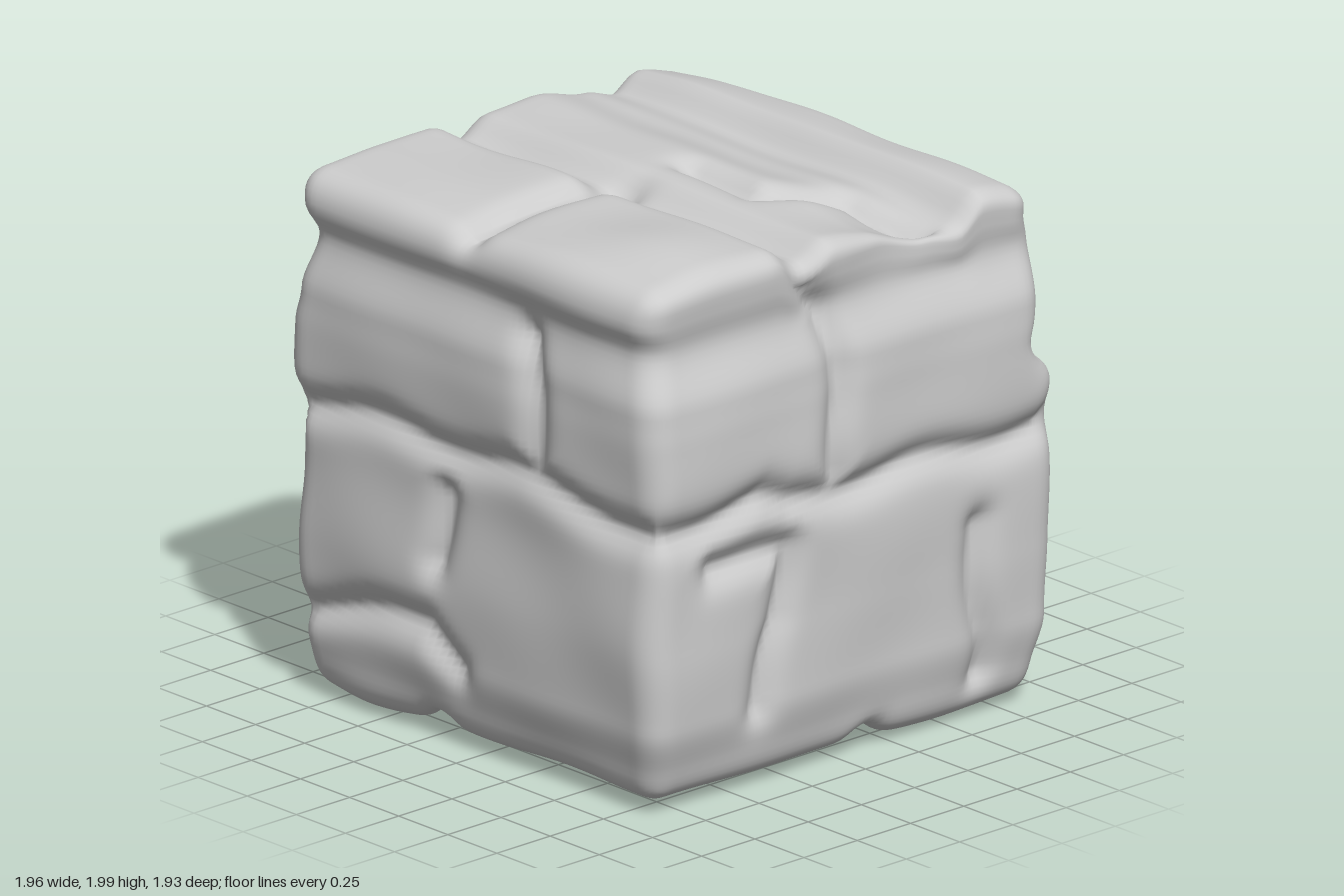
import * as THREE from 'three';
import { mergeVertices } from 'three/addons/utils/BufferGeometryUtils.js';

const HALF = new THREE.Vector3(0.96, 0.955, 0.96);
const MID_Y = 0.99;
const RADIUS = 0.11;

// Places a 2D point on one of the six faces
const onFace = {
  front: (x, y) => [x, y, HALF.z],
  back: (x, y) => [x, y, -HALF.z],
  right: (z, y) => [HALF.x, y, z],
  left: (z, y) => [-HALF.x, y, z],
  top: (x, z) => [x, MID_Y + HALF.y, z],
  bottom: (x, z) => [x, MID_Y - HALF.y, z],
};

// Reach of the sides at each height: y, right, left, front, back
const girth = [
  [1.92, 0.94, 0.92, 0.95, 0.885],
  [1.82, 0.92, 0.91, 0.95, 0.88],
  [1.71, 0.9, 0.885, 0.91, 0.905],
  [1.5, 0.96, 0.93, 0.96, 0.885],
  [1.38, 0.965, 0.95, 0.965, 0.88],
  [1.2, 0.97, 0.955, 0.96, 0.96],
  [0.9, 0.96, 0.925, 0.945, 0.965],
  [0.6, 0.95, 0.945, 0.96, 0.96],
  [0.33, 0.945, 0.935, 0.95, 0.95],
  [0.1, 0.9, 0.91, 0.905, 0.91],
];

// Height of the top from front to back: z, y
const crown = [
  [0.95, 1.94], [0.6, 1.955], [0.35, 1.955], [0.2, 1.88], [0.06, 1.945],
  [-0.15, 1.945], [-0.42, 1.89], [-0.57, 1.865], [-0.7, 1.945], [-0.95, 1.91],
];

// Joints between stones: face, then the path as pairs
const joints = [
  ['front', -0.96, 1.1, -0.4, 1.12, 0.3, 1.12, 0.96, 1.05],
  ['front', 0.3, 1.6, 0.34, 1.15],
  ['front', -0.13, 0.95, -0.2, 0.7],
  ['front', -0.96, 0.33, -0.22, 0.45, -0.06, 0.33],
  ['right', 0.96, 1.05, 0.42, 1.09, 0.3, 1.04, -0.96, 1.03],
  ['right', 0.22, 1.9, 0.1, 1.7, 0.07, 1.1],
  ['right', 0.68, 0.9, 0.33, 0.86, 0.34, 0.6, 0.45, 0.3],
  ['right', -0.57, 0.75, -0.63, 0.2],
  ['back', 0.96, 1.3, 0.55, 1.28, 0.1, 1.18, 0.08, 0.5, -0.15, 0.25],
  ['left', -0.22, 1.8, -0.3, 1.2, -0.25, 0.7, -0.35, 0.2],
  ['left', -0.27, 1.14, 0.96, 1.05],
  ['left', -0.3, 0.4, 0.96, 0.33],
  ['top', -0.04, 0.2, -0.04, 0.95],
  ['top', 0, -0.08, 0.33, -0.08, 0.53, -0.4, 0.85, -0.46],
  ['bottom', 0.96, -0.12, 0.35, -0.35, -0.15, -0.55, -0.4, -0.96],
  ['bottom', -0.25, 0.96, -0.3, 0.8, -0.85, 0.15],
  ['bottom', 0, -0.4, -0.8, -0.2],
];

// Broad swellings and hollows: x, y, z, radius, amount
const swellings = [
  [0.64, 1.94, 0.6, 0.3, 0.04],
  [0.78, 1.94, -0.3, 0.25, -0.06],
  [-0.92, 1.85, -0.9, 0.3, -0.06],
  [-0.96, 1.3, -0.7, 0.3, 0.02],
  [-0.96, 0.45, 0.4, 0.25, 0.02],
  [-0.6, 0.04, 0.7, 0.25, 0.035],
  [0.68, 0.04, -0.6, 0.3, 0.03],
  [0.6, 0.05, 0.96, 0.3, -0.02],
];

// Joint paths as line segments in space
const segments = joints.flatMap(([face, ...path]) => {
  const lines = [];
  for (let i = 0; i + 3 < path.length; i += 2) {
    const a = new THREE.Vector3(...onFace[face](path[i], path[i + 1]));
    const b = new THREE.Vector3(...onFace[face](path[i + 2], path[i + 3]));
    lines.push(new THREE.Line3(a, b));
  }
  return lines;
});

// Reads one column of a table, easing between rows of falling key
function profile(rows, key, column) {
  const next = rows.findIndex((row) => row[0] <= key);
  if (next === 0) return rows[0][column];
  if (next < 0) return rows[rows.length - 1][column];
  const a = rows[next], b = rows[next - 1];
  return THREE.MathUtils.lerp(a[column], b[column], THREE.MathUtils.smoothstep(key, a[0], b[0]));
}

// Gentle unevenness of worn stone
const wear = (p) =>
  0.008 * Math.sin(5.1 * p.x + 3.7 * p.y + 1.3) * Math.sin(4.3 * p.z - 2.9 * p.y) +
  0.005 * Math.sin(9 * p.x - 4 * p.z + 2) * Math.sin(8 * p.y + 5 * p.z) - 0.004;

// Rounded cube whose skin follows the profiles and is pushed in along the joints
function carvedBlock() {
  const box = new THREE.BoxGeometry(HALF.x * 2, HALF.y * 2, HALF.z * 2, 72, 72, 72);
  box.deleteAttribute('uv');
  box.deleteAttribute('normal');
  const geo = mergeVertices(box, 1e-4);
  const pos = geo.attributes.position;
  const inner = HALF.clone().subScalar(RADIUS);
  const low = inner.clone().negate();
  const p = new THREE.Vector3(), core = new THREE.Vector3(), out = new THREE.Vector3();
  const bent = new THREE.Vector3(), near = new THREE.Vector3();
  for (let i = 0; i < pos.count; i++) {
    p.fromBufferAttribute(pos, i);
    core.copy(p).clamp(low, inner);
    out.copy(p).sub(core).normalize();
    p.copy(core).addScaledVector(out, RADIUS);
    p.y += MID_Y;

    // Bending the sample point makes the straight joints meander
    bent.set(
      p.x + 0.02 * Math.sin(9 * p.y + 5 * p.z) * (1 - Math.abs(out.x)),
      p.y + 0.02 * Math.sin(8 * p.x + 9 * p.z) * (1 - Math.abs(out.y)),
      p.z + 0.02 * Math.sin(10 * p.y + 6 * p.x) * (1 - Math.abs(out.z)),
    );
    let gap = Infinity;
    for (const line of segments) {
      line.closestPointToPoint(bent, true, near);
      gap = Math.min(gap, near.distanceTo(bent));
    }
    let push = wear(p) - 0.06 * Math.exp(-Math.pow(gap / 0.06, 1.6));
    for (const [x, y, z, r, amount] of swellings) {
      const d = near.set(x, y, z).distanceTo(p) / r;
      push += amount * Math.exp(-d * d);
    }

    // Sides and top are drawn to their profiles
    const reachX = profile(girth, p.y, p.x > 0 ? 1 : 2) / HALF.x;
    const reachZ = profile(girth, p.y, p.z > 0 ? 3 : 4) / HALF.z;
    const rise = profile(crown, p.z, 1) - MID_Y - HALF.y;
    const lift = rise * THREE.MathUtils.smoothstep(p.y, 1.6, 1.94);
    const lean = p.x < 0 ? 1 - 0.025 * p.z : 1;
    p.set(p.x * reachX * lean, p.y + lift, p.z * reachZ).addScaledVector(out, push);
    pos.setXYZ(i, p.x, p.y, p.z);
  }
  geo.computeBoundingBox();
  geo.translate(0, -geo.boundingBox.min.y, 0);
  geo.computeVertexNormals();
  return geo;
}

export function createModel() {
  const stone = new THREE.MeshStandardMaterial({ color: 0xcccccc });
  stone.name = 'paleStone';
  const block = new THREE.Mesh(carvedBlock(), stone);
  block.name = 'stoneBlock';
  const group = new THREE.Group();
  group.name = 'stoneCube';
  group.add(block);
  return group;
}
